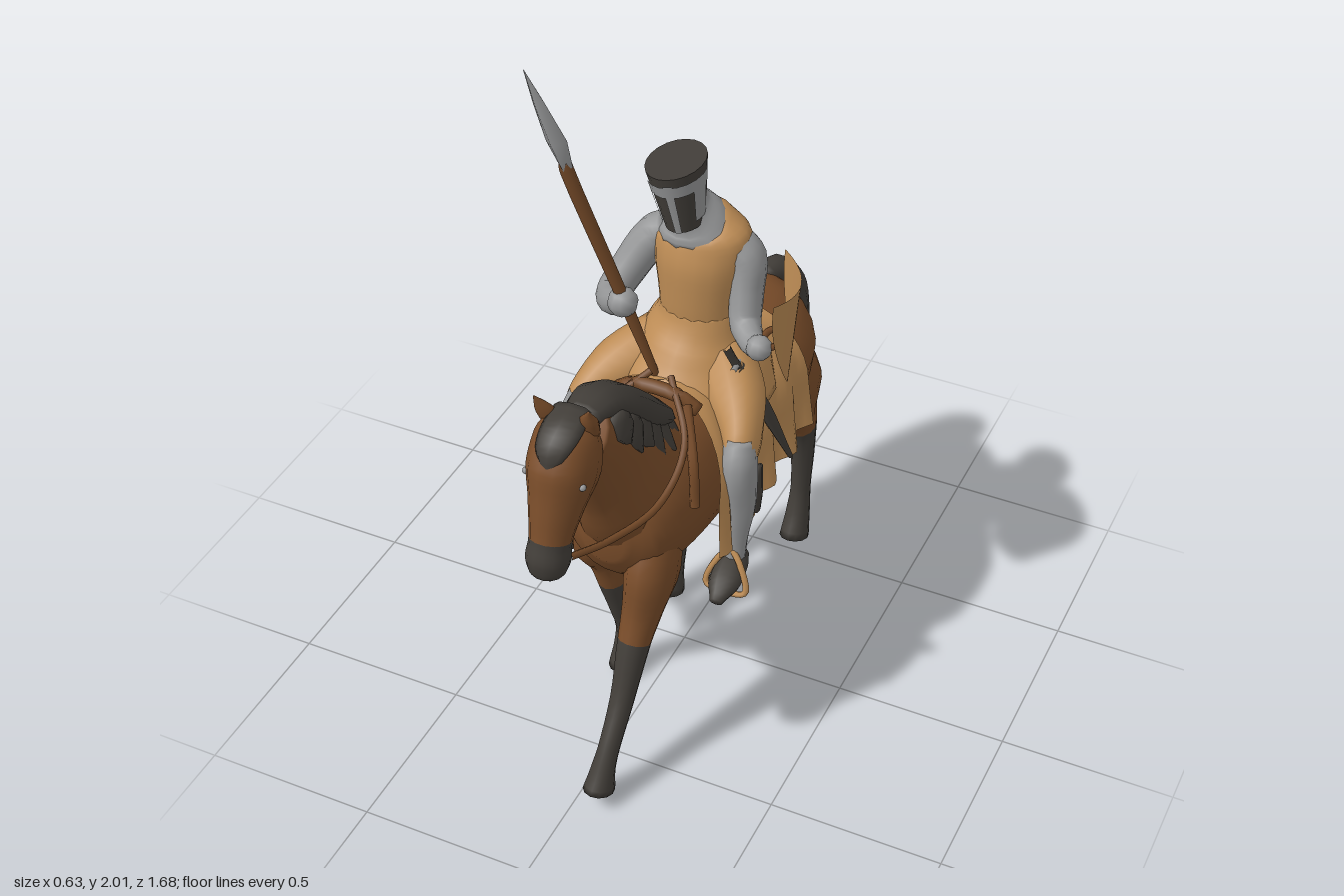
import * as THREE from 'three';
import { ParametricGeometry } from 'three/addons/geometries/ParametricGeometry.js';

const mat = (name, color, side = THREE.FrontSide) => {
  const m = new THREE.MeshStandardMaterial({ color, side });
  m.name = name;
  return m;
};

// Tube-like skin through sections [x, y, z, half width, half depth], smoothed k times per span.
// With split, the spans from that section on use the second material.
function loft(sections, n = 14, k = 4, split = 0) {
  const path = new THREE.CatmullRomCurve3(sections.map(s => new THREE.Vector3(s[0], s[1], s[2])));
  const size = new THREE.CatmullRomCurve3(sections.map(s => new THREE.Vector3(s[3], s[4] ?? s[3], 0)), false, 'catmullrom', 0.4);
  const rings = (sections.length - 1) * k, pos = [], idx = [];
  for (let i = 0; i <= rings; i++) {
    const t = i / rings, c = path.getPoint(t), r = size.getPoint(t), T = path.getTangent(t);
    const S = Math.abs(T.x) > 0.9 ? new THREE.Vector3(0, 0, 1) : new THREE.Vector3(1, 0, 0);
    S.addScaledVector(T, -S.dot(T)).normalize();
    const D = new THREE.Vector3().crossVectors(T, S);
    for (let j = 0; j < n; j++) {
      const a = j / n * Math.PI * 2;
      const p = c.clone().addScaledVector(S, Math.cos(a) * r.x).addScaledVector(D, Math.sin(a) * r.y);
      pos.push(p.x, p.y, p.z);
    }
  }
  const c0 = pos.length / 3, last = rings * n;
  for (const s of [sections[0], sections[sections.length - 1]]) pos.push(s[0], s[1], s[2]);
  for (let j = 0; j < n; j++) idx.push(c0, (j + 1) % n, j);
  for (let i = 0; i < rings; i++) for (let j = 0; j < n; j++) {
    const a = i * n + j, b = i * n + (j + 1) % n;
    idx.push(a, b, b + n, a, b + n, a + n);
  }
  for (let j = 0; j < n; j++) idx.push(c0 + 1, last + j, last + (j + 1) % n);
  const g = new THREE.BufferGeometry();
  g.setAttribute('position', new THREE.Float32BufferAttribute(pos, 3));
  g.setIndex(idx);
  if (split) {
    const cut = n * 3 + split * k * n * 6;
    g.addGroup(0, cut, 0);
    g.addGroup(cut, idx.length - cut, 1);
  }
  g.computeVertexNormals();
  return g;
}

const tube = (pts, r) => new THREE.TubeGeometry(
  new THREE.CatmullRomCurve3(pts.map(p => new THREE.Vector3(...p))), pts.length * 6, r, 6);

export function createModel() {
  const root = new THREE.Group();
  root.name = 'mountedKnight';
  const coat = mat('chestnut coat', 0x7a4d2a), dark = mat('dark hair and iron', 0x423e39);
  const mail = mat('grey mail', 0x969798), cloth = mat('tan cloth', 0xbd8c55, THREE.DoubleSide);
  const leather = mat('leather and wood', 0x724827);
  const add = (name, geo, m, parent = root) => {
    const o = new THREE.Mesh(geo, m);
    o.name = name;
    parent.add(o);
    return o;
  };

  // Horse body, neck and head
  add('horseBody', loft([
    [0, .84, -.62, .03, .05], [0, .835, -.59, .11, .12], [0, .825, -.5, .185, .175], [0, .81, -.38, .215, .2],
    [0, .78, -.2, .205, .22], [0, .765, 0, .2, .232], [0, .78, .2, .195, .235], [0, .785, .35, .18, .215],
    [0, .78, .45, .14, .16], [0, .78, .505, .06, .07]], 22), coat);
  add('horseNeck', loft([
    [0, .8, .27, .17, .2], [0, .9, .36, .14, .2], [0, 1.04, .46, .1, .155], [0, 1.17, .56, .08, .12],
    [0, 1.23, .62, .07, .09]], 16), coat);
  add('horseHead', loft([
    [-.01, 1.29, .63, .06, .05], [-.01, 1.25, .66, .085, .09], [-.01, 1.17, .69, .092, .11], [-.01, 1.08, .735, .07, .082],
    [-.01, 1, .77, .055, .062], [-.01, .95, .787, .059, .06], [-.01, .915, .795, .05, .045], [-.01, .895, .795, .025, .02]],
    14, 4, 4), [coat, dark]);
  for (const s of [-1, 1]) {
    add('ear', loft([[s * .05 - .01, 1.27, .64, .03, .025], [s * .063 - .01, 1.32, .665, .026, .018],
      [s * .075 - .01, 1.37, .69, .003]], 8), coat);
    add('eye', new THREE.SphereGeometry(.01, 8, 6), mail).position.set(s * .079 - .01, 1.17, .74);
  }

  // Mane, forelock and hanging locks
  add('mane', loft([
    [0, 1.28, .62, .05, .03], [0, 1.265, .53, .068, .045], [0, 1.2, .43, .085, .05], [0, 1.1, .33, .095, .055],
    [0, 1.03, .24, .085, .04], [0, .99, .18, .05, .02]], 10), dark);
  add('forelock', loft([[-.01, 1.315, .63, .05, .02], [-.005, 1.3, .7, .056, .025], [-.01, 1.265, .75, .045, .02],
    [-.01, 1.21, .775, .008]], 8), dark);
  for (const s of [-1, 1]) for (let i = 0; i < 6; i++) {
    const y = 1.24 - i * .042, z = .52 - i * .052;
    add('maneLock', loft([[s * .045, y, z, .03, .05], [s * .08, y - .045, z + .005, .018, .042],
      [s * (.088 + i * .007), y - .09 - (i % 2) * .025, z - .01, .004]], 6, 2), dark);
  }

  // Legs: coat above, dark from the fourth section down
  const leg = (name, sections) => add(name, loft(sections, 12, 4, 3), [coat, dark]);
  leg('leftForeleg', [[.08, .8, .34, .06, .08], [.095, .64, .405, .072, .1], [.085, .52, .45, .055, .07],
    [.08, .44, .49, .046, .053], [.075, .28, .56, .034, .037], [.07, .16, .635, .03, .033], [.065, .1, .665, .034, .036],
    [.06, .035, .685, .043, .055]]);
  leg('rightForeleg', [[-.09, .8, .33, .06, .08], [-.115, .62, .31, .07, .1], [-.115, .5, .27, .055, .06],
    [-.11, .4, .245, .046, .05], [-.105, .28, .215, .036, .038], [-.1, .16, .18, .033, .034], [-.1, .09, .18, .038, .04],
    [-.1, .015, .195, .047, .058]]);
  leg('leftHindLeg', [[.09, .84, -.4, .08, .1], [.12, .67, -.475, .088, .115], [.12, .54, -.53, .06, .078],
    [.12, .43, -.578, .045, .052], [.12, .33, -.595, .036, .045], [.12, .18, -.59, .03, .036], [.12, .09, -.575, .036, .042],
    [.12, .005, -.55, .044, .056]]);
  leg('rightHindLeg', [[-.09, .84, -.4, .08, .1], [-.12, .67, -.36, .088, .12], [-.12, .53, -.318, .06, .07],
    [-.12, .43, -.335, .046, .052], [-.12, .345, -.315, .04, .05], [-.12, .22, -.235, .03, .035], [-.12, .1, -.17, .036, .04],
    [-.12, .015, -.145, .044, .057]]);

  // Tail with ragged ends
  add('tail', loft([
    [-.01, .95, -.55, .03, .03], [0, .925, -.64, .05, .045], [.005, .82, -.71, .06, .06], [.01, .65, -.725, .065, .065],
    [.02, .5, -.74, .06, .066], [.035, .37, -.775, .045, .058]], 10), dark);
  [[.07, .235, -.82], [.03, .265, -.785], [.06, .3, -.835], [.0, .28, -.735]].forEach(([x, y, z]) =>
    add('tailLock', loft([[.025, .52, -.745, .03, .035], [(x + .025) / 2, .38, (z - .755) / 2, .032, .036], [x, y, z, .006]], 6), dark));

  // Draped saddle cloth: arch over the back, front edge cut back at the withers, folded sides
  add('saddleCloth', new ParametricGeometry((u, v, t) => {
    const w = v * 2 - 1, s = Math.sign(w), q = Math.min(1, Math.abs(w) / .65), drop = Math.max(0, (Math.abs(w) - .65) / .35);
    const front = .29 - .15 * (1 - q) - .02 * (1 - drop), fold = .01 * Math.sin(u * 26) * (q + drop);
    t.set(s * (.228 * Math.sin(q * Math.PI / 2) + fold + .012 * drop),
      .8 + .25 * Math.cos(q * Math.PI / 2) - drop * (.165 - .02 * u) - .02 * u * (1 - q), front + (-.33 - front) * u);
  }, 28, 28), cloth);
  add('saddlePommel', loft([[-.12, 1.02, .17, .02], [-.06, 1.06, .18, .02], [.06, 1.06, .18, .02], [.12, 1.02, .17, .02]], 8), leather);

  // Harness
  for (const s of [-1, 1]) {
    add('rein', tube([[s * .05 - .01, .95, .765], [s * .09, .925, .64], [s * .145, .93, .47], [s * .14, 1.0, .3], [s * .03, 1.09, .15]], .01), leather);
    add('shoulderStrap', tube([[s * .1, 1.05, .2], [s * .17, .96, .31], [s * .19, .84, .34]], .014), leather);
  }

  // Rider's legs, boots and tapering stirrups
  for (const s of [-1, 1]) {
    add('thigh', loft([[s * .08, 1.04, -.06, .09, .09], [s * .17, .99, .04, .085, .085], [s * .23, .93, .13, .055, .07],
      [s * .24, .89, .165, .045, .06]], 12), cloth);
    add('mailLeg', loft([[s * .235, .95, .15, .04, .045], [s * .243, .88, .175, .05, .058], [s * .243, .74, .17, .047, .05],
      [s * .237, .62, .175, .034, .036], [s * .235, .53, .18, .03, .034]], 12), mail);
    add('boot', loft([[s * .235, .54, .14, .028, .03], [s * .235, .53, .18, .042, .046], [s * .238, .515, .25, .046, .036],
      [s * .242, .495, .315, .018, .014]], 10), dark);
    add('stirrup', tube([[s * .235, .6, .2], [s * .2, .56, .22], [s * .178, .485, .24], [s * .235, .475, .245],
      [s * .295, .485, .24], [s * .272, .56, .22], [s * .235, .6, .2]], .009), cloth);
    add('stirrupStrap', tube([[s * .225, .85, .18], [s * .215, .7, .21], [s * .235, .595, .2]], .009), leather);
  }
  add('strapEnd', loft([[.243, .77, .04, .01, .018], [.246, .68, .045, .01, .024], [.24, .61, .035, .008, .016]], 8), dark);

  // Surcoat and collar
  add('surcoatSkirt', loft([[0, .92, -.07, .225, .235], [0, 1.0, -.085, .2, .225], [.005, 1.09, -.09, .152, .17],
    [.01, 1.15, -.09, .125, .125], [.01, 1.19, -.09, .116, .108]], 20), cloth);
  add('surcoat', loft([[.01, 1.13, -.09, .115, .105], [.01, 1.22, -.09, .12, .112], [.01, 1.33, -.095, .135, .118],
    [.01, 1.41, -.095, .135, .1], [.005, 1.445, -.09, .09, .08], [0, 1.46, -.08, .05, .05]], 18), cloth);
  add('mailCollar', loft([[0, 1.41, -.085, .115, .09], [-.005, 1.45, -.08, .09, .085], [-.015, 1.5, -.06, .058, .068],
    [-.02, 1.53, -.05, .05, .06]], 14), mail);

  // Arms and hands
  add('rightArm', loft([[-.08, 1.39, -.1, .05, .06], [-.13, 1.355, -.09, .056, .065], [-.185, 1.26, -.03, .05, .056],
    [-.205, 1.21, .02, .046, .05], [-.17, 1.235, .08, .042, .042], [-.13, 1.27, .12, .034, .034]], 12), mail);
  add('rightHand', new THREE.SphereGeometry(.042, 10, 8), mail).position.set(-.115, 1.285, .14);
  add('leftArm', loft([[.1, 1.39, -.1, .05, .06], [.135, 1.35, -.1, .053, .062], [.15, 1.26, -.07, .046, .055],
    [.165, 1.19, -.03, .044, .046], [.205, 1.175, .02, .036, .036], [.235, 1.18, .05, .03, .03]], 12), mail);
  add('leftHand', new THREE.SphereGeometry(.036, 10, 8), mail).position.set(.24, 1.185, .05);

  // Flared flat-topped helmet with a grey cross and side plates
  const helm = new THREE.Group();
  helm.name = 'helmet';
  helm.position.set(-.03, 1.555, -.04);
  helm.rotation.set(-.04, .2, .16);
  helm.scale.z = 1.35;
  root.add(helm);
  const rad = y => .067 + y * .16;
  add('helmetShell', new THREE.CylinderGeometry(rad(.09), rad(-.09), .18, 20), dark, helm);
  const plate = (name, y0, y1, from, to) => {
    const g = new THREE.CylinderGeometry(rad(y1) + .003, rad(y0) + .003, y1 - y0, 10, 1, true, from, to - from);
    add(name, g, mail, helm).position.y = (y0 + y1) / 2;
  };
  plate('noseBar', -.088, .07, -.16, .16);
  plate('browBand', .03, .065, -1.6, 1.6);
  for (const s of [-1, 1]) plate('cheekPlate', -.065, .035, s > 0 ? .85 : -1.5, s > 0 ? 1.5 : -.85);

  // Curved pointed shield on the left arm
  add('shield', new ParametricGeometry((u, v, t) => {
    const s = (u * 2 - 1) * Math.pow(Math.max(0, 1 - v * v), .8);
    t.set(.243 + .043 * s + .063 * (1 - s * s) - .03 * v, 1.335 - .335 * v + .008 * (1 - v) * s, -.07 + .14 * s);
  }, 14, 18), cloth);
  add('shieldGrip', tube([[.285, 1.2, -.06], [.235, 1.19, -.02], [.25, 1.185, .05], [.28, 1.19, .03]], .01), leather);

  // Sheathed sword
  add('scabbard', loft([[.17, 1.08, .025, .016, .022], [.225, .92, -.03, .016, .024], [.282, .72, -.095, .006, .008]], 8), dark);
  add('swordHilt', tube([[.17, 1.08, .025], [.158, 1.12, .04], [.148, 1.16, .055]], .012), dark);
  add('swordGuard', tube([[.16, 1.08, -.02], [.168, 1.09, .03], [.176, 1.1, .075]], .009), mail);

  // Spear
  add('spearShaft', loft([[-.035, 1.04, .105, .011], [-.115, 1.3, .14, .017], [-.235, 1.7, .202, .019], [-.24, 1.73, .206, .016]], 8), leather);
  add('spearHead', loft([[-.235, 1.71, .203, .019], [-.255, 1.79, .215, .032, .028], [-.29, 1.9, .234, .018], [-.32, 2, .252, .001]], 4, 1), mail);
  return root;
}
